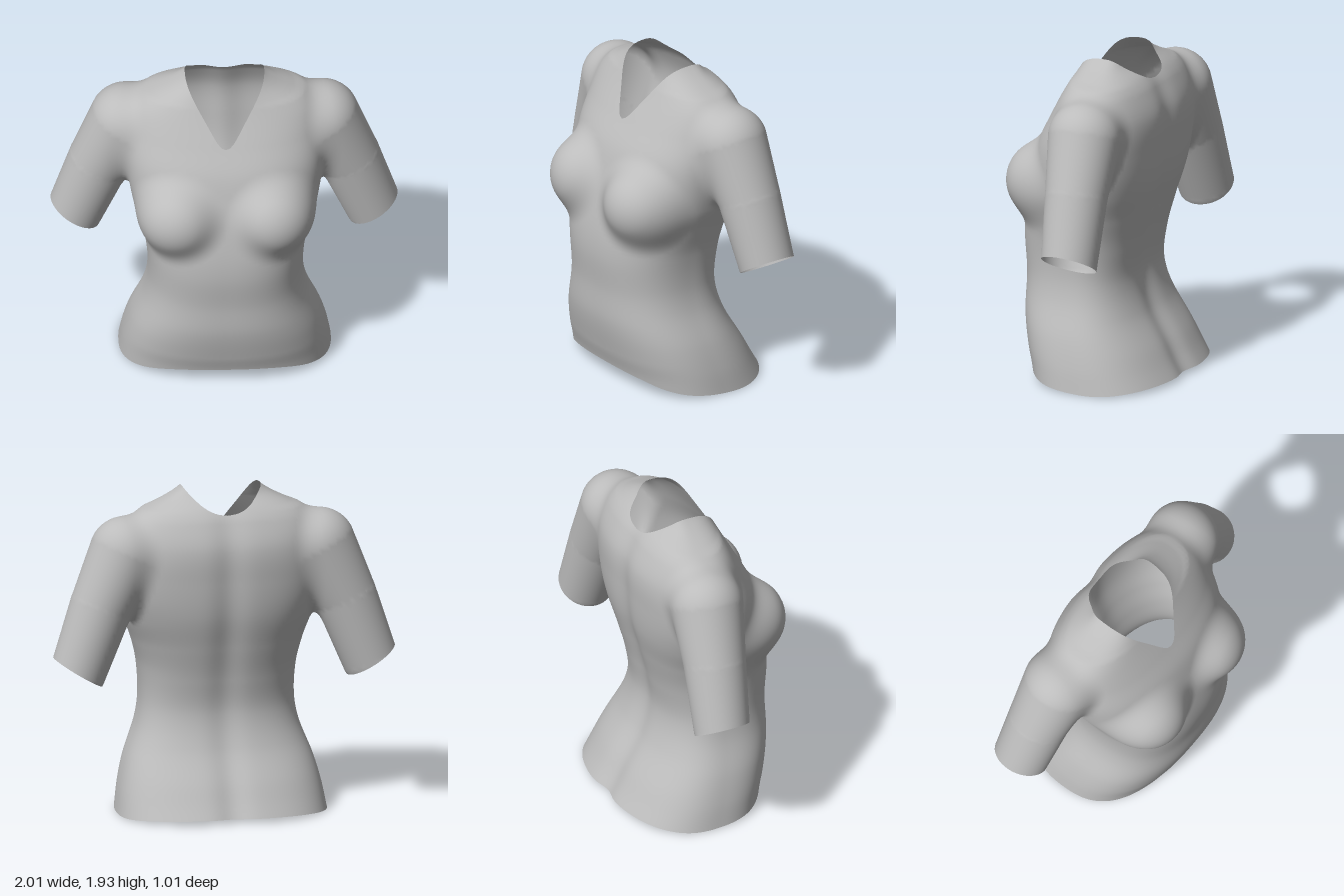
import * as THREE from 'three';
import { mergeVertices } from 'three/addons/utils/BufferGeometryUtils.js';

const clamp = THREE.MathUtils.clamp, smooth = THREE.MathUtils.smoothstep;

// Smooth curve through [t, value] points
function spline(pts) {
  const n = pts.length;
  const slope = pts.map((_, i) => {
    const a = pts[Math.max(i - 1, 0)], b = pts[Math.min(i + 1, n - 1)];
    return (b[1] - a[1]) / (b[0] - a[0]);
  });
  return t => {
    if (t <= pts[0][0]) return pts[0][1] + (t - pts[0][0]) * slope[0];
    if (t >= pts[n - 1][0]) return pts[n - 1][1] + (t - pts[n - 1][0]) * slope[n - 1];
    let i = 0;
    while (t > pts[i + 1][0]) i++;
    const d = pts[i + 1][0] - pts[i][0], s = (t - pts[i][0]) / d, s2 = s * s, s3 = s2 * s;
    return pts[i][1] * (2 * s3 - 3 * s2 + 1) + pts[i + 1][1] * (3 * s2 - 2 * s3)
      + d * (slope[i] * (s3 - 2 * s2 + s) + slope[i + 1] * (s3 - s2));
  };
}

function blend(a, b, k) {
  const h = Math.max(k - Math.abs(a - b), 0) / k;
  return Math.min(a, b) - h * h * k / 4;
}

// Torso profiles by height: half width, front, back and widest depth
const width = spline([[0, .615], [.15, .59], [.3, .55], [.5, .475], [.65, .45], [.85, .46], [1, .495],
  [1.15, .54], [1.4, .58], [1.6, .57], [1.72, .54], [1.8, .47], [1.83, .4], [1.88, .3], [1.93, .23], [2, .18], [2.2, .14]]);
const front = spline([[0, .35], [.1, .37], [.2, .4], [.4, .44], [.6, .445], [.8, .46], [.95, .45], [1.15, .41],
  [1.3, .37], [1.45, .32], [1.6, .24], [1.8, .135], [1.9, .1], [2.2, .06]]);
const back = spline([[0, -.525], [.1, -.465], [.2, -.41], [.4, -.295], [.6, -.245], [.8, -.27], [1, -.32], [1.2, -.37],
  [1.4, -.39], [1.6, -.39], [1.75, -.335], [1.82, -.285], [1.9, -.2], [2.2, -.14]]);
const middle = spline([[0, -.06], [.5, .05], [1, .05], [1.3, -.05], [1.6, -.09], [2.2, -.08]]);

// Sleeve centre line with radius, shoulder to just past the cuff
const sleeve = [[.57, 1.56, -.13, .212], [.72, 1.25, -.155, .182], [.86, .875, -.18, .163], [.92, .776, -.185, .163]];

function sleeveField(x, y, z) {
  let best = 9;
  for (let i = 0; i < sleeve.length - 1; i++) {
    const a = sleeve[i], b = sleeve[i + 1];
    const u = [b[0] - a[0], b[1] - a[1], b[2] - a[2]];
    const h = clamp(((x - a[0]) * u[0] + (y - a[1]) * u[1] + (z - a[2]) * u[2])
      / (u[0] ** 2 + u[1] ** 2 + u[2] ** 2), 0, 1);
    const d = Math.hypot(x - a[0] - h * u[0], y - a[1] - h * u[1], z - a[2] - h * u[2]);
    best = Math.min(best, d - a[3] - h * (b[3] - a[3]));
  }
  return best;
}

// Body field: negative inside, zero on the cloth
function field(px, y, z) {
  const x = Math.abs(px), m = middle(y);
  const groove = 1 - .07 * Math.exp(-((x / .09) ** 2));
  const depth = z > m ? front(y) - m : (m - back(y)) * groove;
  const torso = .4 * (((x / width(y)) ** 2.5 + (Math.abs(z - m) / depth) ** 2.5) ** .4 - 1);
  const bust = Math.hypot(x - .27, y - 1.16, z - .272) - .235;
  return blend(blend(torso, bust, .08), sleeveField(x, y, z), .07);
}

function gradient(p) {
  const e = .004;
  return new THREE.Vector3(
    field(p.x + e, p.y, p.z) - field(p.x - e, p.y, p.z),
    field(p.x, p.y + e, p.z) - field(p.x, p.y - e, p.z),
    field(p.x, p.y, p.z + e) - field(p.x, p.y, p.z - e)).divideScalar(2 * e);
}

// Openings: each function is positive where cloth is kept
const hem = spline([[-.51, .03], [-.2, .003], [.1, .018], [.25, .045], [.37, .1], [.42, .11]]);
const neckFront = spline([[0, 1.595], [.02, 1.6], [.05, 1.63], [.1, 1.71], [.17, 1.825], [.23, 1.93], [.3, 2.05]]);
const neckBack = spline([[0, 1.79], [.05, 1.797], [.1, 1.815], [.16, 1.855], [.23, 1.93], [.3, 2.05]]);
const openings = [
  p => p.y - hem(p.z),
  p => {
    const x = Math.abs(p.x), s = smooth(p.z, -.14, .02);
    return neckBack(x) * (1 - s) + neckFront(x) * s - p.y;
  },
  p => Math.max(.66 - Math.abs(p.x), -(Math.abs(p.x) - .86) * .52 + (p.y - .875) * .855),
];

// Cut a polygon along the zero line of a function
function cut(poly, keep) {
  const out = [], t = poly.map(keep);
  poly.forEach((p, i) => {
    const j = (i + 1) % poly.length;
    if (t[i] >= 0) out.push(p);
    if ((t[i] >= 0) !== (t[j] >= 0)) out.push(p.clone().lerp(poly[j], t[i] / (t[i] - t[j])));
  });
  return out;
}

// Wrap the field in a skin of small triangles
function skin() {
  const s = .025, lo = [-1.1125, -.1, -.65], N = [90, 88, 52];
  const id = (i, j, k) => (i * N[1] + j) * N[2] + k;
  const at = (i, j, k) => [lo[0] + i * s, lo[1] + j * s, lo[2] + k * s];
  const val = new Float32Array(N[0] * N[1] * N[2]);
  const each = fn => {
    for (let i = 0; i < N[0]; i++) for (let j = 0; j < N[1]; j++) for (let k = 0; k < N[2]; k++) fn(i, j, k);
  };
  each((i, j, k) => { val[id(i, j, k)] = field(...at(i, j, k)); });
  const axes = [[1, 0, 0], [0, 1, 0], [0, 0, 1]], cells = new Map();

  // Each crossed grid edge adds its crossing to the four cells around it
  const quads = [];
  each((i, j, k) => axes.forEach((a, n) => {
    const g = [i, j, k], q = g.map((c, m) => c + a[m]);
    if (q[n] >= N[n]) return;
    const v0 = val[id(...g)], v1 = val[id(...q)];
    if ((v0 < 0) === (v1 < 0)) return;
    const u = axes[(n + 1) % 3], w = axes[(n + 2) % 3];
    if (g[(n + 1) % 3] < 1 || g[(n + 2) % 3] < 1) return;
    const hit = new THREE.Vector3(...at(...g)).addScaledVector(new THREE.Vector3(...a), s * v0 / (v0 - v1));
    quads.push([[0, 0], [1, 0], [1, 1], [0, 1]].map(([b, c]) => {
      const key = id(...g.map((e, m) => e - b * u[m] - c * w[m]));
      if (!cells.has(key)) cells.set(key, { p: new THREE.Vector3(), n: 0 });
      const cell = cells.get(key);
      cell.p.add(hit);
      cell.n++;
      return cell;
    }));
  }));

  // Average, then settle each point on the cloth
  for (const c of cells.values()) {
    c.p.divideScalar(c.n);
    for (let r = 0; r < 3; r++) {
      const g = gradient(c.p), f = field(c.p.x, c.p.y, c.p.z);
      c.p.addScaledVector(g, -clamp(f / Math.max(g.lengthSq(), .01), -.01, .01));
    }
  }
  const tris = [];
  for (const [a, b, c, d] of quads) tris.push([a.p, b.p, c.p], [a.p, c.p, d.p]);
  return tris;
}

function makeGeometry(polys) {
  const pos = [], nor = [], e1 = new THREE.Vector3(), e2 = new THREE.Vector3();
  for (const poly of polys) {
    const normals = poly.map(p => gradient(p).normalize());
    for (let i = 1; i < poly.length - 1; i++) {
      e1.subVectors(poly[i], poly[0]);
      e2.subVectors(poly[i + 1], poly[0]);
      const order = e1.cross(e2).dot(normals[0]) < 0 ? [0, i + 1, i] : [0, i, i + 1];
      for (const o of order) {
        pos.push(...poly[o].toArray());
        nor.push(...normals[o].toArray());
      }
    }
  }
  const geo = new THREE.BufferGeometry();
  geo.setAttribute('position', new THREE.Float32BufferAttribute(pos, 3));
  geo.setAttribute('normal', new THREE.Float32BufferAttribute(nor, 3));
  return mergeVertices(geo, 1e-5);
}

export function createModel() {
  const group = new THREE.Group();
  group.name = 'shirt';
  const cloth = new THREE.MeshStandardMaterial({ color: 0xbcbcbc, side: THREE.DoubleSide });
  cloth.name = 'grey cloth';

  const polys = skin().map(t => openings.reduce((p, keep) => cut(p, keep), t)).filter(p => p.length > 2);

  // Body and the two sleeves meet at an upright seam
  const seam = .625;
  const parts = {
    body: p => seam - Math.abs(p.x),
    leftSleeve: p => p.x - seam,
    rightSleeve: p => -p.x - seam,
  };
  for (const [name, keep] of Object.entries(parts)) {
    const mesh = new THREE.Mesh(makeGeometry(polys.map(p => cut(p, keep)).filter(p => p.length > 2)), cloth);
    mesh.name = name;
    group.add(mesh);
  }
  return group;
}
